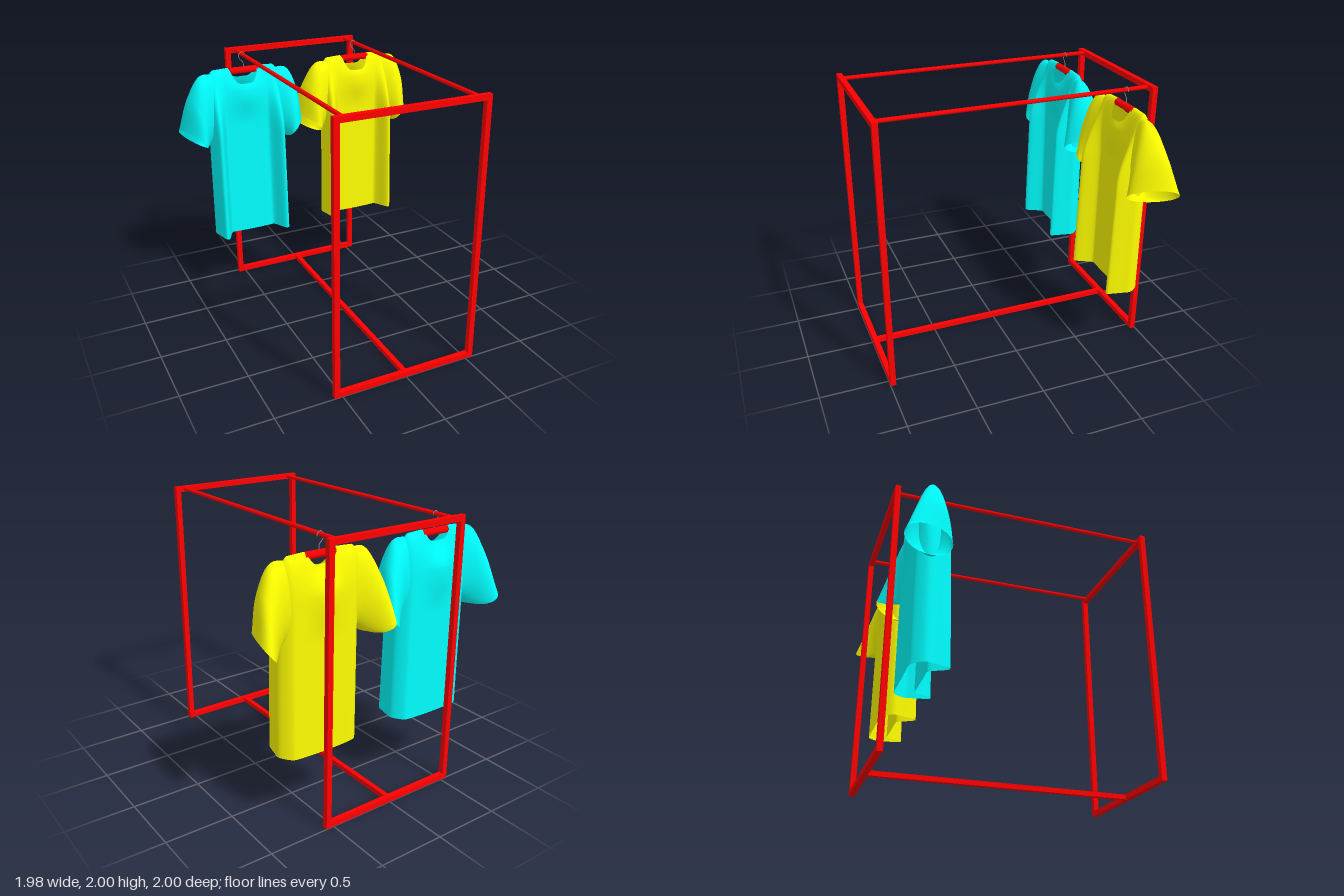
import * as THREE from 'three';
import { ParametricGeometry } from 'three/addons/geometries/ParametricGeometry.js';

const red = new THREE.MeshStandardMaterial({ color: 0xff0000 });
const wire = new THREE.MeshStandardMaterial({ color: 0x888888 });
const V = (x, y, z) => new THREE.Vector3(x, y, z);
const smooth = THREE.MathUtils.smoothstep;
const RACK_Z = -0.8; // depth at which the hangers sit

function add(parent, name, geometry, material, x = 0, y = 0, z = 0) {
  const mesh = new THREE.Mesh(geometry, material);
  mesh.name = name;
  mesh.position.set(x, y, z);
  parent.add(mesh);
  return mesh;
}

// Rectangular end frames joined by two round top rails and one square floor rail
function makeRack() {
  const rack = new THREE.Group();
  rack.name = 'rack';
  const outline = new THREE.Shape([[-0.56, 0], [0.56, 0], [0.56, 1.995], [-0.56, 1.995]].map(p => new THREE.Vector2(...p)));
  outline.holes.push(new THREE.Path([[-0.52, 0.04], [-0.52, 1.955], [0.52, 1.955], [0.52, 0.04]].map(p => new THREE.Vector2(...p))));
  const frame = new THREE.ExtrudeGeometry(outline, { depth: 0.04, bevelEnabled: false });
  add(rack, 'frontFrame', frame, red, 0, 0, 0.96);
  add(rack, 'backFrame', frame, red, 0, 0, -1);
  const rail = new THREE.CylinderGeometry(0.015, 0.015, 1.93, 20).rotateX(Math.PI / 2);
  for (const s of [-1, 1]) add(rack, s > 0 ? 'leftTopRail' : 'rightTopRail', rail, red, s * 0.482, 1.977, 0);
  add(rack, 'floorRail', new THREE.BoxGeometry(0.036, 0.036, 1.93), red, 0, 0.02, 0);
  return rack;
}

// Front (side = 1) or back (side = -1) panel, meeting at the shoulders and side seams
function panel(side) {
  const point = (a, v, target) => {
    const u = Math.sin((a - 0.5) * Math.PI * side);
    const k = Math.abs(u);
    const x = u * (0.3 + 0.013 * v);
    const shoulder = 1.89 - 0.015 * k - 0.05 * smooth(k, 0.8, 1);
    const neck = Math.max(0, 1 - Math.pow(Math.abs(x) / 0.115, 4));
    const top = shoulder - (side > 0 ? 0.125 : 0.09) * neck;
    const hem = 0.515 + 0.012 * k * k;
    const y = THREE.MathUtils.lerp(top, hem, Math.pow(v, 1.6));
    const drop = shoulder - y;
    // the cloth swells below the shoulder, most of all around the neck
    const t = Math.min(1, drop / 0.3);
    const thick = 0.066 * Math.sqrt(1 - (1 - t) ** 2) * Math.sqrt(Math.max(0, 1 - u ** 8));
    const swell = side > 0
      ? 0.032 * smooth(drop, 0.03, 0.18) * (1 - smooth(drop, 0.2, 0.45))
      : 0.034 * smooth(drop, 0.08, 0.28) * (1 - smooth(drop, 0.3, 0.6)) - 0.016 * smooth(drop, 0, 0.05) * (1 - smooth(drop, 0.08, 0.28));
    const bulge = swell * Math.exp(-((x / 0.11) ** 2));
    // the front folds forward in a lobe near each side, the back stays almost flat
    const fold = side > 0 ? smooth(k, 0.55, 0.84) - 0.75 * smooth(k, 0.86, 1) : 0.25 * smooth(k, 0.75, 1);
    const curl = (0.1 * smooth(drop, 0.05, 0.5) + 0.04 * v) * fold;
    target.set(x, y, RACK_Z + curl + side * (thick + bulge));
  };
  return new ParametricGeometry(point, 84, 40);
}

// Sleeve: ellipses lofted from inside the armhole to the swept-back cuff
function sleeve(s) {
  const curve = points => new THREE.CatmullRomCurve3(points.map(p => V(...p)));
  const centre = curve([[0.2, 1.6, -0.79], [0.31, 1.59, -0.785], [0.385, 1.48, -0.795], [0.425, 1.345, -0.815]]);
  const depth = curve([[0, 0, 0.045], [-0.005, 0, 0.09], [-0.025, 0, 0.135], [-0.05, 0.01, 0.175]]);
  const height = curve([[0.01, 0.245, 0], [0.035, 0.258, 0], [0.055, 0.2, 0], [0.065, 0.07, 0]]);
  return new ParametricGeometry((a, v, target) => {
    const t = a * Math.PI * 2 * s;
    target.copy(centre.getPoint(v))
      .addScaledVector(depth.getPoint(v), Math.cos(t))
      .addScaledVector(height.getPoint(v), Math.sin(t));
    target.x *= s;
  }, 40, 20);
}

function makeShirt(name, color) {
  const shirt = new THREE.Group();
  shirt.name = name;
  const cloth = new THREE.MeshStandardMaterial({ color, side: THREE.DoubleSide });
  add(shirt, 'frontPanel', panel(1), cloth);
  add(shirt, 'backPanel', panel(-1), cloth);
  add(shirt, 'leftSleeve', sleeve(1), cloth);
  add(shirt, 'rightSleeve', sleeve(-1), cloth);
  return shirt;
}

// Short round bar, and a wire hook that loops over the rail
function makeHanger() {
  const hanger = new THREE.Group();
  hanger.name = 'hanger';
  const bar = new THREE.CylinderGeometry(0.026, 0.026, 0.23, 20).rotateZ(Math.PI / 2);
  add(hanger, 'hangerBar', bar, red, 0.008, 1.856, RACK_Z);
  const path = new THREE.CatmullRomCurve3([
    V(0.01, 1.87, 0), V(0.008, 1.91, 0), V(-0.02, 1.945, 0), V(-0.025, 1.975, 0), V(0, 1.996, 0), V(0.022, 1.98, 0), V(0.024, 1.965, 0)]);
  add(hanger, 'hangerHook', new THREE.TubeGeometry(path, 40, 0.003, 6), wire, 0, 0, RACK_Z);
  return hanger;
}

export function createModel() {
  const model = new THREE.Group();
  model.name = 'clothesRack';
  model.add(makeRack());
  for (const [name, color, x] of [['cyanShirt', 0x00ffff, -0.485], ['yellowShirt', 0xffff00, 0.48]]) {
    const garment = new THREE.Group();
    garment.name = name + 'OnHanger';
    garment.position.x = x;
    garment.add(makeShirt(name, color), makeHanger());
    model.add(garment);
  }
  return model;
}
